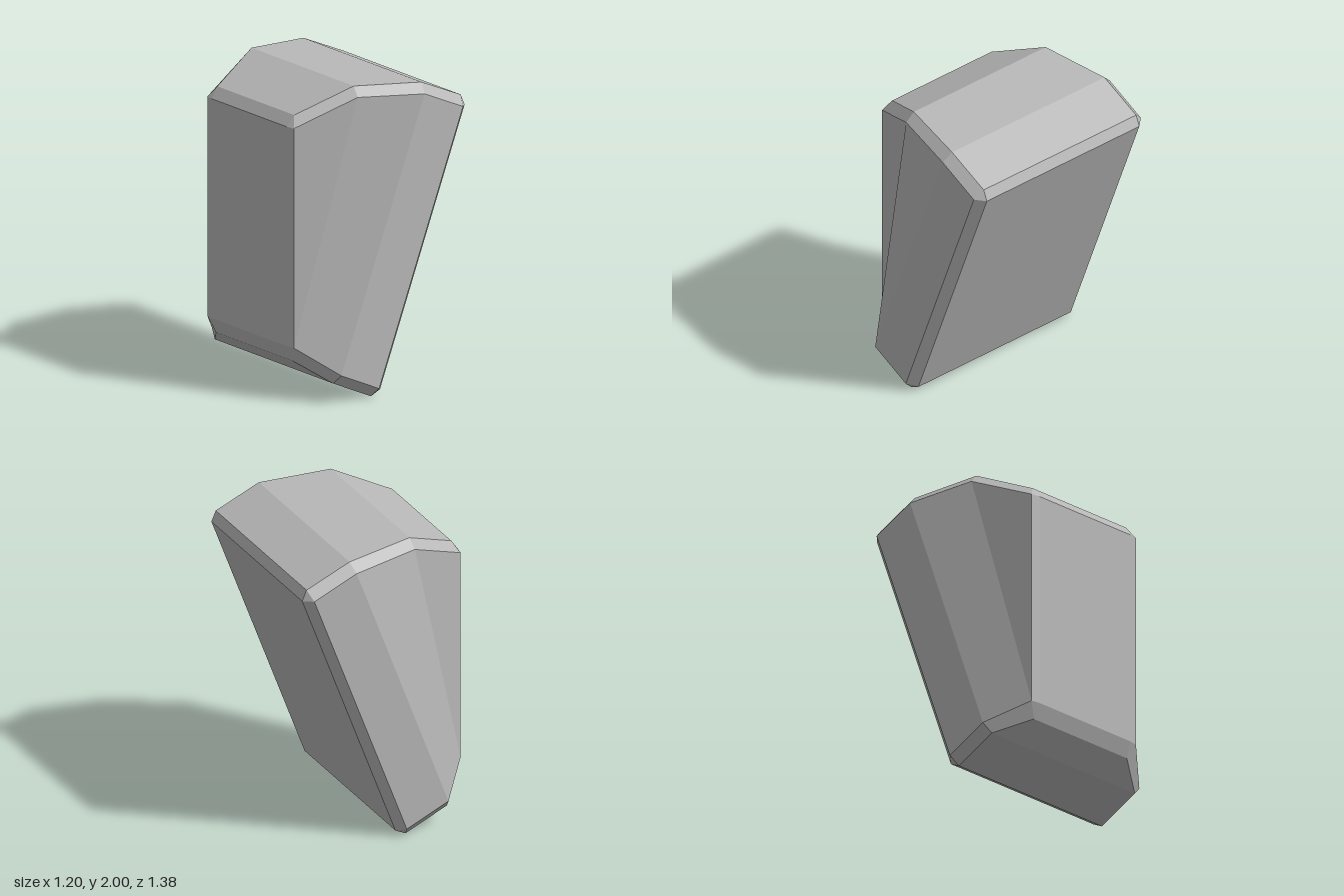
import * as THREE from 'three';

// Corners of the front cheek, counter-clockwise from the upper left
const cheek = [
  [-0.59, 1.77, 0.46], [-0.59, 0.35, 0.46], [-0.39, 0.19, 0.69], [-0.10, 0.06, 0.69],
  [0.545, 1.78, 0.69], [0.25, 1.91, 0.69], [-0.20, 1.94, 0.60],
];
// Outer rim in the same direction: x, y, z and the cheek corner it bevels into
const rim = [
  [-0.55, 1.84, 0.41, 0], [-0.60, 1.77, 0.40, 0], [-0.60, 0.35, 0.40, 1], [-0.56, 0.25, 0.41, 1],
  [-0.41, 0.13, 0.63, 2], [-0.12, 0.00, 0.63, 3], [-0.05, 0.035, 0.63, 3], [0.60, 1.77, 0.63, 4],
  [0.57, 1.84, 0.63, 4], [0.27, 1.97, 0.63, 5], [-0.19, 2.00, 0.545, 6],
];

const vec = (p) => new THREE.Vector3(p[0], p[1], p[2]);
const mirror = (v) => new THREE.Vector3(v.x, v.y, -v.z);

// Flat facets: each polygon is fanned from its first corner and has one normal
function facets(polygons) {
  const position = [], normal = [];
  for (const poly of polygons) {
    const n = new THREE.Vector3();
    const triangles = [];
    for (let i = 1; i < poly.length - 1; i++) {
      const [a, b, c] = [poly[0], poly[i], poly[i + 1]];
      n.add(b.clone().sub(a).cross(c.clone().sub(a)));
      triangles.push(a, b, c);
    }
    n.normalize();
    for (const v of triangles) {
      position.push(v.x, v.y, v.z);
      normal.push(n.x, n.y, n.z);
    }
  }
  const geometry = new THREE.BufferGeometry();
  geometry.setAttribute('position', new THREE.Float32BufferAttribute(position, 3));
  geometry.setAttribute('normal', new THREE.Float32BufferAttribute(normal, 3));
  return geometry;
}

export function createModel() {
  const group = new THREE.Group();
  group.name = 'wedgeStone';
  const stone = new THREE.MeshStandardMaterial({ color: 0xb8b8b8 });
  stone.name = 'stone grey';

  const face = cheek.map(vec);
  const edge = rim.map(vec);

  // Front cheek: three radial panels
  const side = [[6, 0, 1], [6, 1, 2, 5], [2, 3, 4, 5]].map((p) => p.map((i) => face[i]));
  const bevel = [], band = [];
  edge.forEach((o, i) => {
    const j = (i + 1) % edge.length;
    const from = rim[i][3], to = rim[j][3];
    // Bevel around the cheek, a triangle where two rim points share a corner
    bevel.push(from === to ? [o, edge[j], face[to]] : [o, edge[j], face[to], face[from]]);
    // Band running across the stone from front to back
    band.push([edge[j], o, mirror(o), mirror(edge[j])]);
  });

  const add = (name, polygons) => {
    const mesh = new THREE.Mesh(facets(polygons), stone);
    mesh.name = name;
    group.add(mesh);
  };
  // Keeps the first corner so the panels split the same way on both sides
  const flip = (polygons) => polygons.map(([first, ...rest]) => [first, ...rest.reverse()].map(mirror));

  add('frontCheek', side);
  add('backCheek', flip(side));
  add('frontBevel', bevel);
  add('backBevel', flip(bevel));
  add('outerBand', band);
  return group;
}
